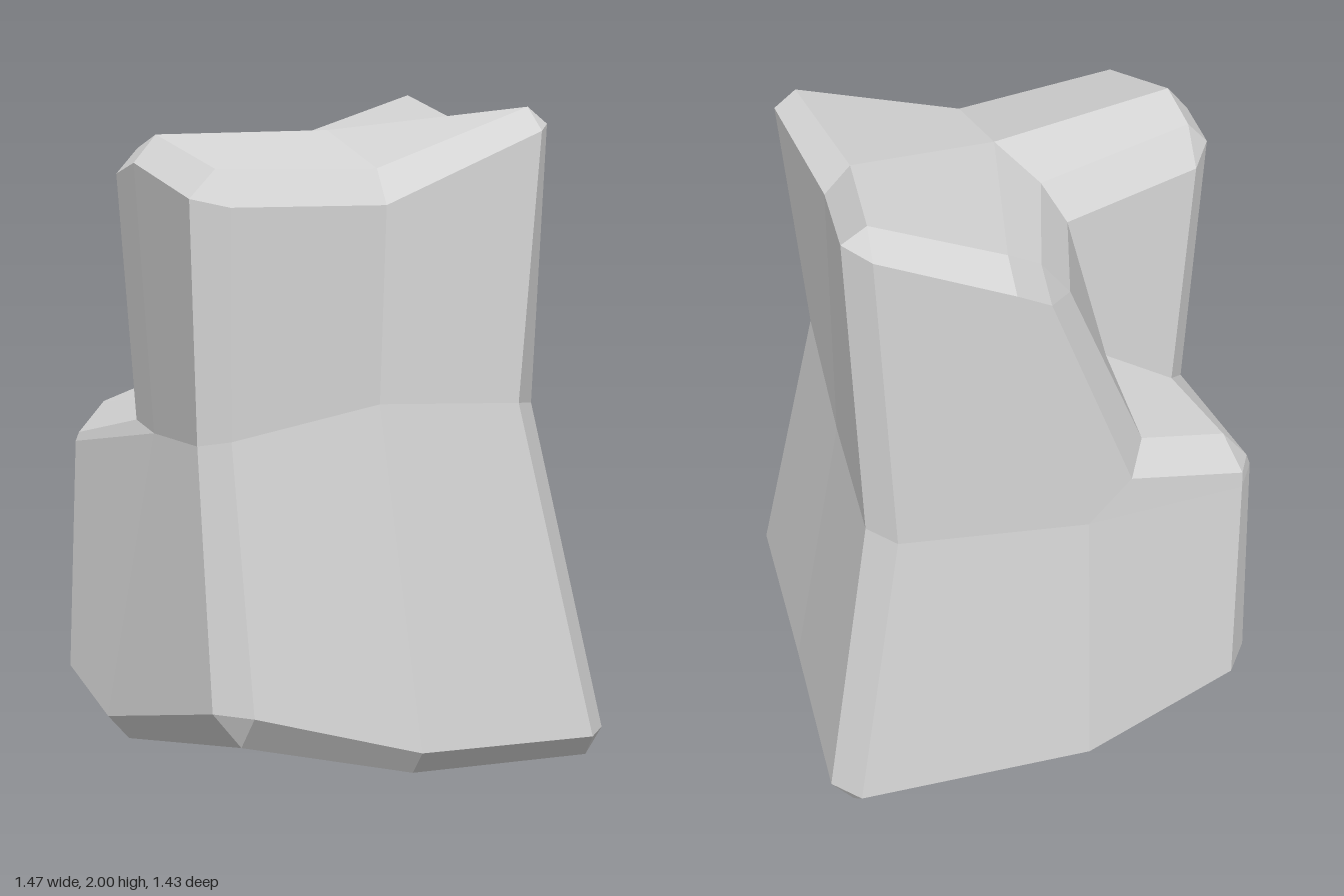
import * as THREE from 'three';

const BEVEL = 0.08;

// Control points of a 3 x 3 x 3 block; the key gives the x, y, z step (0 low, 1 middle, 2 high).
// The corner 020 is missing: it is cut away by the notch.
const P = {
  // base
  '000': [-0.675, 0.08, -0.595], '100': [-0.05, 0.02, -0.73], '200': [0.76, -0.01, -0.615],
  '001': [-0.75, 0.06, -0.02], '101': [-0.03, 0.05, 0], '201': [0.69, 0.005, 0.04],
  '002': [-0.63, 0.25, 0.665], '102': [-0.05, 0.065, 0.725], '202': [0.625, 0.02, 0.72],
  // waist
  '010': [-0.675, 0.89, -0.555], '110': [-0.08, 0.93, -0.585], '210': [0.575, 1.02, -0.545],
  '011': [-0.58, 1.0, 0], '211': [0.505, 1.02, 0],
  '012': [-0.647, 1.05, 0.55], '112': [-0.1, 1.13, 0.53], '212': [0.43, 1.1, 0.555],
  // top
  '120': [0.165, 1.86, -0.562], '220': [0.588, 2.04, -0.47],
  '021': [-0.698, 1.885, 0.165], '121': [-0.02, 1.89, 0.035], '221': [0.5, 1.935, -0.01],
  '022': [-0.642, 1.78, 0.55], '122': [-0.06, 1.77, 0.495], '222': [0.535, 2.0, 0.485],
  // rim of the notch, and its innermost point
  r021: [-0.695, 1.83, -0.06], r121: [-0.14, 1.79, -0.18], r120: [0.005, 1.73, -0.51],
  r110: [-0.28, 1.1, -0.56], r010: [-0.67, 1.005, -0.525], r011: [-0.588, 1.035, -0.21],
  inner: [-0.31, 1.19, -0.16],
};
const point = (key) => new THREE.Vector3(...P[key]);

// Four-sided patches, each tagged with the side of the rock it belongs to.
function buildPatches() {
  const patches = [];
  const next = {}; // order of points round the notch rim
  for (let axis = 0; axis < 3; axis++) for (const end of [0, 2]) {
    const side = `side${axis}${end}`;
    for (let u = 0; u < 2; u++) for (let v = 0; v < 2; v++) {
      const quad = [[u, v], [u + 1, v], [u + 1, v + 1], [u, v + 1]].map(([a, b]) => {
        const c = [0, 0, 0];
        c[axis] = end; c[(axis + 1) % 3] = a; c[(axis + 2) % 3] = b;
        return c.join('');
      });
      if (end === 0) quad.reverse();
      const cut = quad.indexOf('020');
      if (cut < 0) { patches.push({ side, quad }); continue; }
      // next to the notch, only a band between the middle lines and the rim remains
      const [a, b, c] = [1, 2, 3].map((n) => quad[(cut + n) % 4]);
      patches.push({ side, quad: [a, b, 'r' + b, 'r' + a] }, { side, quad: [b, c, 'r' + c, 'r' + b] });
      next['r' + a] = 'r' + b;
      next['r' + b] = 'r' + c;
    }
  }
  // two walls and the floor of the notch
  for (const a of ['r121', 'r110', 'r011']) {
    patches.push({ side: 'notch', quad: [a, next[a], next[next[a]], 'inner'] });
  }
  return patches;
}

function rockGeometry() {
  const patches = buildPatches();
  const edgeSide = {}; // directed edge -> side
  const neighbours = {}; // side and point -> adjoining points
  for (const { side, quad } of patches) quad.forEach((a, i) => {
    const b = quad[(i + 1) % 4];
    edgeSide[`${a}>${b}`] = side;
    (neighbours[`${side}|${a}`] ??= new Set()).add(b);
    (neighbours[`${side}|${b}`] ??= new Set()).add(a);
  });

  // Pull a side's border points inward, leaving room for the chamfers.
  const inset = (side, key) => {
    const p = point(key);
    const all = [...neighbours[`${side}|${key}`]];
    const inside = all.filter((n) => edgeSide[`${key}>${n}`] === edgeSide[`${n}>${key}`]);
    if (inside.length === all.length) return p;
    const out = p.clone();
    for (const n of inside.length ? inside : all) {
      out.addScaledVector(point(n).sub(p).normalize(), BEVEL);
    }
    return out;
  };

  // Add a triangle or quad with one flat normal; quads split along the shorter diagonal.
  const positions = [], normals = [];
  const addFace = (c) => {
    const last = c[c.length - 1];
    const normal = c[2].clone().sub(c[0]).cross(last.clone().sub(c[1])).normalize();
    let order = [0, 1, 2];
    if (c.length === 4) {
      const shortFirst = c[0].distanceTo(c[2]) < c[1].distanceTo(c[3]);
      order = shortFirst ? [0, 1, 2, 0, 2, 3] : [0, 1, 3, 1, 2, 3];
    } else {
      normal.crossVectors(c[1].clone().sub(c[0]), c[2].clone().sub(c[0])).normalize();
    }
    for (const i of order) {
      positions.push(...c[i].toArray());
      normals.push(...normal.toArray());
    }
  };

  // broad faces
  for (const { side, quad } of patches) addFace(quad.map((k) => inset(side, k)));

  // chamfers along the edges between sides
  const around = {};
  for (const [edge, g] of Object.entries(edgeSide)) {
    const [a, b] = edge.split('>');
    const h = edgeSide[`${b}>${a}`];
    if (g === h) continue;
    (around[a] ??= {})[h] = g;
    if (g < h) addFace([inset(g, b), inset(g, a), inset(h, a), inset(h, b)]);
  }

  // small triangles where three chamfers meet
  for (const [key, loop] of Object.entries(around)) {
    const sides = Object.keys(loop);
    if (sides.length !== 3) continue;
    const s = sides[0];
    addFace([s, loop[s], loop[loop[s]]].map((g) => inset(g, key)));
  }

  const geometry = new THREE.BufferGeometry();
  geometry.setAttribute('position', new THREE.Float32BufferAttribute(positions, 3));
  geometry.setAttribute('normal', new THREE.Float32BufferAttribute(normals, 3));
  return geometry;
}

export function createModel() {
  const stone = new THREE.MeshStandardMaterial({ color: 0xd4d4d4 });
  stone.name = 'grey stone';
  const rock = new THREE.Mesh(rockGeometry(), stone);
  rock.name = 'rock';
  const group = new THREE.Group();
  group.name = 'notchedRock';
  group.add(rock);
  return group;
}
